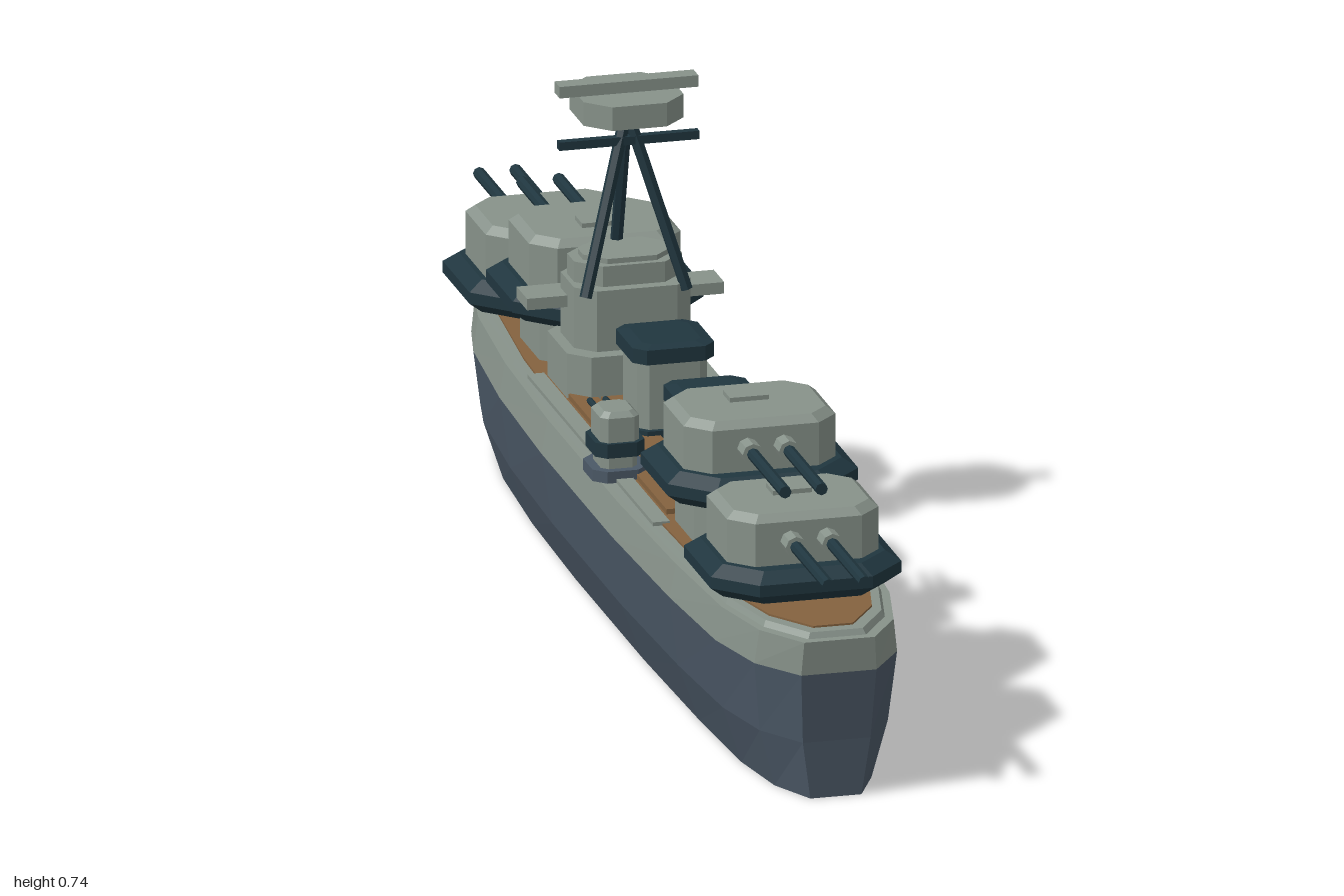
import * as THREE from 'three';

const mat = (name, color) => {
  const m = new THREE.MeshStandardMaterial({ color, side: THREE.DoubleSide });
  m.name = name;
  return m;
};

// Joins closed rings of [x, y, z] points, listed from bottom to top, with flat facets
function loft(rings, capTop = true, capBottom = true) {
  const pos = [];
  const n = rings[0].length;
  for (let r = 0; r < rings.length - 1; r++) {
    for (let i = 0; i < n; i++) {
      const j = (i + 1) % n;
      const [a, b, c, d] = [rings[r][i], rings[r][j], rings[r + 1][j], rings[r + 1][i]];
      pos.push(...a, ...b, ...c, ...a, ...c, ...d);
    }
  }
  const cap = (ring, up) => {
    const mid = [0, 1, 2].map(k => ring.reduce((s, p) => s + p[k], 0) / n);
    for (let i = 0; i < n; i++) {
      const a = ring[i], b = ring[(i + 1) % n];
      pos.push(...mid, ...(up ? a : b), ...(up ? b : a));
    }
  };
  if (capTop) cap(rings[rings.length - 1], true);
  if (capBottom) cap(rings[0], false);
  const g = new THREE.BufferGeometry();
  g.setAttribute('position', new THREE.Float32BufferAttribute(pos, 3));
  g.computeVertexNormals();
  return g;
}

// Rectangle with cut corners, half sizes w and d
const oct = (y, w, d, c) => [
  [w - c, y, d], [w, y, d - c], [w, y, c - d], [w - c, y, -d],
  [c - w, y, -d], [-w, y, c - d], [-w, y, d - c], [c - w, y, d],
];

// Half breadth and station of the hull, from stern to bow
const outline = [
  [0.058, 0.955], [0.11, 0.88], [0.138, 0.76], [0.152, 0.55], [0.161, 0.25], [0.161, -0.15],
  [0.153, -0.42], [0.134, -0.64], [0.113, -0.73], [0.075, -0.83], [0.035, -0.91], [0.004, -0.952],
];
const hullRing = (y, sx, sz, inset = 0) => {
  const half = outline.map(([x, z]) => [Math.max(x * sx - inset, 0.002), y, z * sz]);
  return [...half, ...half.slice().reverse().map(([x, yy, z]) => [-x, yy, z])];
};

export function createModel() {
  const ship = new THREE.Group();
  ship.name = 'warship';
  const light = mat('pale grey green', 0x87928a);
  const slate = mat('slate hull', 0x4b5866);
  const dark = mat('dark teal', 0x20363f);
  const wood = mat('deck wood', 0x84623f);

  const add = (parent, name, geo, m, x = 0, y = 0, z = 0) => {
    const mesh = new THREE.Mesh(geo, m);
    mesh.name = name;
    mesh.position.set(x, y, z);
    parent.add(mesh);
    return mesh;
  };
  const box = (parent, name, m, w, h, d, x, y, z) =>
    add(parent, name, new THREE.BoxGeometry(w, h, d), m, x, y, z);
  // Faceted rod between two points
  const rod = (parent, name, m, a, b, r, sides = 8) => {
    const A = new THREE.Vector3(...a), B = new THREE.Vector3(...b);
    const dir = B.clone().sub(A);
    const g = new THREE.CylinderGeometry(r, r, dir.length(), sides).toNonIndexed();
    g.computeVertexNormals();
    const mesh = add(parent, name, g, m);
    mesh.position.copy(A).add(B).multiplyScalar(0.5);
    mesh.quaternion.setFromUnitVectors(new THREE.Vector3(0, 1, 0), dir.normalize());
  };

  // Hull, open underneath, with a pale upper band and deck edge
  add(ship, 'lowerHull', loft([hullRing(0, 0.68, 0.982), hullRing(0.09, 0.9, 0.987), hullRing(0.2, 1, 1)], false, false), slate);
  add(ship, 'upperHull', loft([hullRing(0.2, 1, 1), hullRing(0.253, 0.94, 1.005), hullRing(0.253, 0.94, 0.99, 0.01),
    hullRing(0.262, 0.94, 0.985, 0.014)], true, false), light);
  add(ship, 'woodDeck', loft([hullRing(0.262, 0.94, 0.965, 0.024), hullRing(0.265, 0.94, 0.965, 0.024)], true, false), wood);

  // Midship side walks and raised planks
  for (const s of [-1, 1]) box(ship, 'sideWalk', light, 0.026, 0.006, 0.72, s * 0.124, 0.265, 0.04);
  for (let i = -2; i <= 2; i++) box(ship, 'plank', wood, 0.039, 0.01, 0.56, i * 0.043, 0.268, 0.08);

  // Main gun turret, facing +z before being turned
  const turret = (z, lift, turn) => {
    const t = new THREE.Group();
    t.name = 'mainTurret';
    t.position.set(0, 0.262 + lift, z);
    t.rotation.y = turn;
    ship.add(t);
    if (lift > 0) add(t, 'barbette', loft([oct(-lift, 0.1, 0.09, 0.035), oct(0.01, 0.1, 0.09, 0.035)]), light);
    add(t, 'turretRing', loft([oct(0.004, 0.125, 0.115, 0.05), oct(0.022, 0.147, 0.137, 0.06),
      oct(0.04, 0.147, 0.137, 0.06), oct(0.055, 0.125, 0.115, 0.05)]), dark);
    add(t, 'gunHouse', loft([oct(0.05, 0.117, 0.093, 0.035), oct(0.122, 0.117, 0.093, 0.035),
      oct(0.133, 0.104, 0.08, 0.03)]), light);
    box(t, 'roofHatch', light, 0.06, 0.008, 0.04, 0, 0.136, -0.02);
    for (const x of [-0.028, 0.028]) {
      rod(t, 'gunSleeve', light, [x, 0.092, 0.08], [x, 0.092, 0.125], 0.016);
      rod(t, 'gunBarrel', dark, [x, 0.092, 0.1], [x, 0.092, 0.31], 0.0095);
    }
  };
  turret(0.69, 0, 0);
  turret(0.443, 0.066, 0);
  turret(-0.69, 0, Math.PI);
  turret(-0.443, 0.066, Math.PI);

  // Funnels with dark caps
  for (const z of [-0.04, 0.232]) {
    add(ship, 'funnel', loft([oct(0.262, 0.054, 0.055, 0.015), oct(0.39, 0.054, 0.055, 0.015)]), light, 0, 0, z);
    add(ship, 'funnelFoot', loft([oct(0.265, 0.062, 0.063, 0.018), oct(0.28, 0.062, 0.063, 0.018)]), dark, 0, 0, z);
    add(ship, 'funnelCap', loft([oct(0.385, 0.063, 0.065, 0.018), oct(0.408, 0.063, 0.065, 0.018),
      oct(0.412, 0.045, 0.048, 0.012)]), dark, 0, 0, z);
  }

  // Bridge tower
  const tower = [
    ['bridgeBase', 0.262, 0.335, 0.107, 0.085, 0.03, -0.26],
    ['bridgeMiddle', 0.335, 0.43, 0.09, 0.066, 0.028, -0.265],
    ['bridgeTop', 0.43, 0.462, 0.083, 0.055, 0.035, -0.272],
    ['bridgeRoof', 0.462, 0.47, 0.068, 0.045, 0.03, -0.272],
  ];
  for (const [name, y0, y1, w, d, c, z] of tower)
    add(ship, name, loft([oct(y0, w, d, c), oct(y1, w, d, c)]), light, 0, 0, z);
  box(ship, 'bridgeWings', light, 0.304, 0.018, 0.06, 0, 0.396, -0.295);

  // Tripod mast with yard and rangefinder
  const head = [0, 0.69, -0.26];
  for (const foot of [[-0.078, 0.42, -0.205], [0.078, 0.42, -0.205], [0, 0.42, -0.33]])
    rod(ship, 'mastLeg', dark, foot, head, 0.0095, 6);
  box(ship, 'mastYard', dark, 0.216, 0.013, 0.013, 0, 0.647, -0.25);
  add(ship, 'rangefinderDrum', loft([oct(0.685, 0.077, 0.075, 0.035), oct(0.722, 0.077, 0.075, 0.035)]), light, 0, 0, -0.26);
  box(ship, 'rangefinderBar', light, 0.214, 0.018, 0.028, 0, 0.731, -0.26);

  // Secondary mounts on both sides
  for (const s of [-1, 1]) {
    const g = new THREE.Group();
    g.name = 'secondaryMount';
    g.position.set(s * 0.127, 0, 0.145);
    ship.add(g);
    add(g, 'mountFoot', loft([oct(0.262, 0.042, 0.045, 0.018), oct(0.28, 0.042, 0.045, 0.018)]), slate);
    add(g, 'mountColumn', loft([oct(0.28, 0.028, 0.032, 0.01), oct(0.305, 0.028, 0.032, 0.01)]), light);
    add(g, 'mountRing', loft([oct(0.3, 0.038, 0.042, 0.015), oct(0.322, 0.038, 0.042, 0.015)]), dark);
    add(g, 'mountHouse', loft([oct(0.322, 0.03, 0.036, 0.01), oct(0.36, 0.03, 0.036, 0.01),
      oct(0.368, 0.022, 0.028, 0.008)]), light);
    for (const x of [-0.012, 0.012]) {
      rod(g, 'smallSleeve', light, [x, 0.345, -0.03], [x, 0.345, -0.055], 0.008);
      rod(g, 'smallBarrel', dark, [x, 0.345, -0.04], [x, 0.345, -0.1], 0.005);
    }
    add(ship, 'deckLocker', loft([oct(0.262, 0.02, 0.03, 0.008), oct(0.292, 0.02, 0.03, 0.008)]), light, s * 0.113, 0, 0.055);
  }
  return ship;
}
